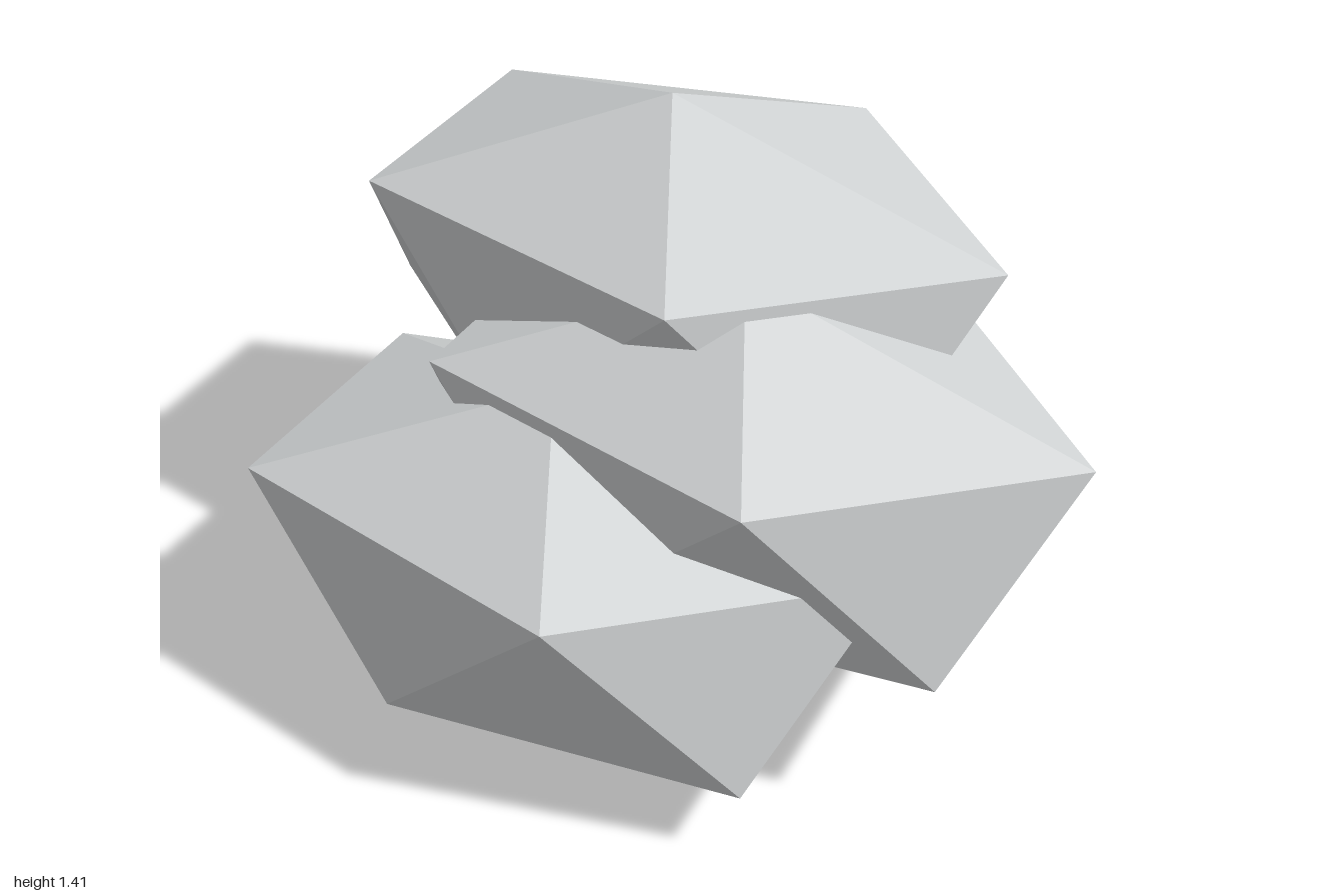
import * as THREE from 'three';

// One faceted boulder: two poles and two staggered five-point rings, around its own centre
function boulderGeometry() {
  const top = [0, 0.467, 0];
  const bottom = [0, -0.465, 0];
  const upper = [[-0.663, 0.21, 0.317], [0.24, 0.197, 0.487], [0.86, 0.222, -0.002], [0.26, 0.222, -0.545], [-0.648, 0.21, -0.318]];
  const lower = [[-0.22, -0.242, 0.455], [0.648, -0.264, 0.317], [0.633, -0.26, -0.305], [-0.258, -0.276, -0.537], [-0.8, -0.264, -0.005]];
  const points = [];
  for (let i = 0; i < 5; i++) {
    const j = (i + 1) % 5;
    points.push(top, upper[i], upper[j]);
    points.push(upper[i], lower[i], upper[j]);
    points.push(lower[i], lower[j], upper[j]);
    points.push(bottom, lower[j], lower[i]);
  }
  const geometry = new THREE.BufferGeometry();
  geometry.setAttribute('position', new THREE.Float32BufferAttribute(points.flat(), 3));
  geometry.computeVertexNormals();
  return geometry;
}

export function createModel() {
  const group = new THREE.Group();
  group.name = 'rockPile';
  const stone = new THREE.MeshStandardMaterial({ color: 0xd1d4d5 });
  stone.name = 'pale stone grey';
  stone.flatShading = true;
  const geometry = boulderGeometry();

  // The same boulder, stepped down from back to front
  const boulders = [
    ['backBoulder', -0.2, 0.945, -0.262],
    ['middleBoulder', 0.14, 0.705, 0.025],
    ['frontBoulder', -0.2, 0.465, 0.315],
  ];
  for (const [name, x, y, z] of boulders) {
    const boulder = new THREE.Mesh(geometry, stone);
    boulder.name = name;
    boulder.position.set(x, y, z);
    group.add(boulder);
  }
  return group;
}
